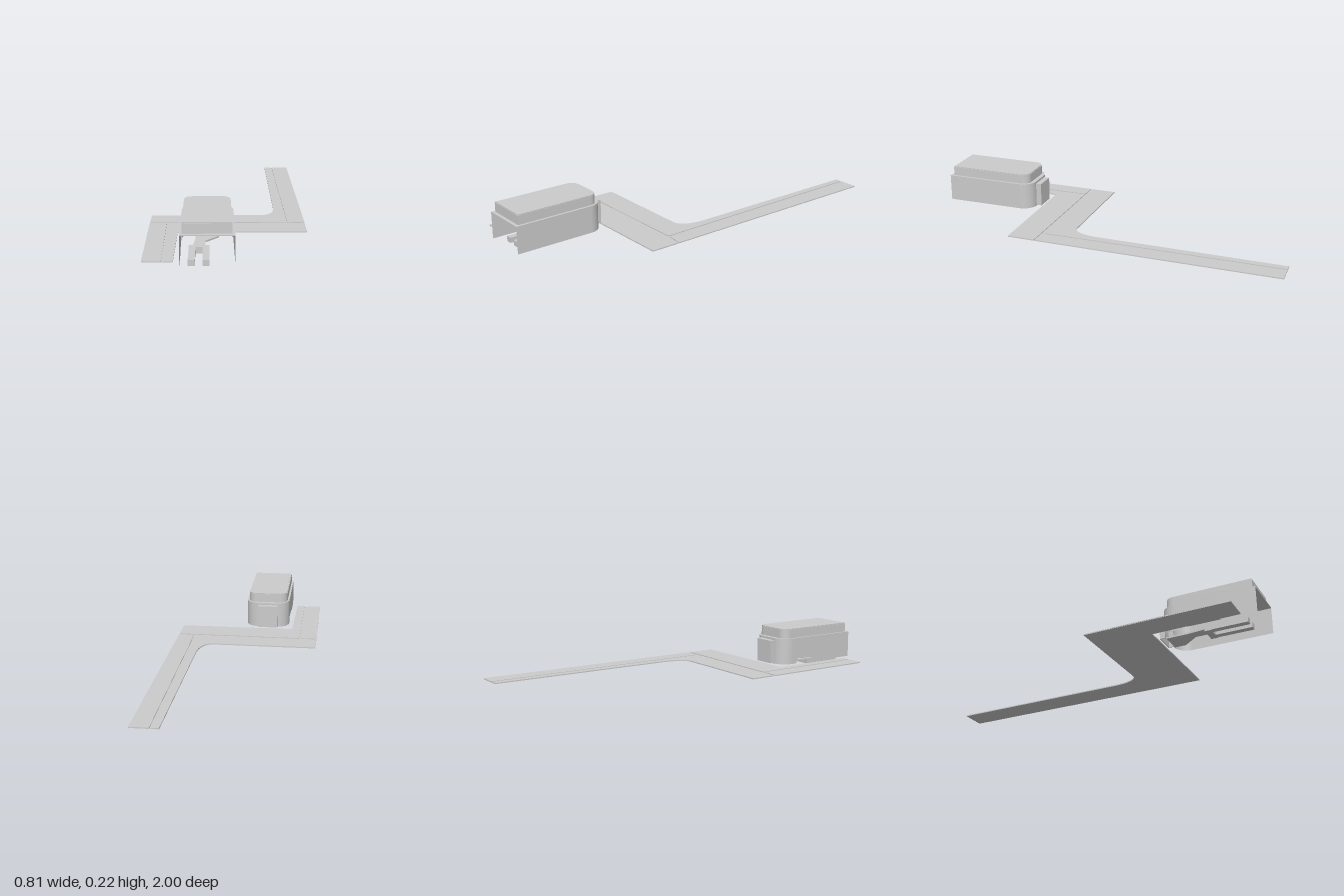
import * as THREE from 'three';

const grey = new THREE.MeshStandardMaterial({ color: 0xcccccc, side: THREE.DoubleSide });

function add(parent, name, geometry) {
  const mesh = new THREE.Mesh(geometry, grey);
  mesh.name = name;
  parent.add(mesh);
  return mesh;
}

// Box given by its limits on each axis
function box(parent, name, x0, x1, y0, y1, z0, z1) {
  const mesh = add(parent, name, new THREE.BoxGeometry(x1 - x0, y1 - y0, z1 - z0));
  mesh.position.set((x0 + x1) / 2, (y0 + y1) / 2, (z0 + z1) / 2);
  return mesh;
}

// Slab cut from a plan drawn in x and z, between two heights
function slab(parent, name, shape, y0, y1) {
  const geometry = new THREE.ExtrudeGeometry(shape, { depth: y1 - y0, bevelEnabled: false, curveSegments: 10 });
  geometry.rotateX(Math.PI / 2).translate(0, y1, 0);
  return add(parent, name, geometry);
}

function plan(points) {
  return new THREE.Shape(points.map(([x, z]) => new THREE.Vector2(x, z)));
}

// Plan with two rounded corners at the back and a straight front
function archPlan(x0, x1, z0, z1, r) {
  const s = new THREE.Shape();
  s.moveTo(x0, z1);
  s.lineTo(x0, z0 + r);
  s.absarc(x0 + r, z0 + r, r, Math.PI, Math.PI * 1.5);
  s.absarc(x1 - r, z0 + r, r, Math.PI * 1.5, Math.PI * 2);
  s.lineTo(x1, z1);
  s.closePath();
  return s;
}

// Upright wall along plan points [x, z, bottom]
function wall(parent, name, points, top) {
  const position = [], index = [];
  points.forEach(([x, z, bottom], i) => {
    position.push(x, bottom, z, x, top, z);
    const a = 2 * i;
    if (i) index.push(a - 2, a, a - 1, a, a + 1, a - 1);
  });
  const geometry = new THREE.BufferGeometry();
  geometry.setAttribute('position', new THREE.Float32BufferAttribute(position, 3));
  geometry.setIndex(index);
  geometry.computeVertexNormals();
  return add(parent, name, geometry);
}

function createRoad() {
  const road = new THREE.Group();
  road.name = 'road';

  // Inner bend shared by the base and the paving
  const bend = new THREE.QuadraticBezierCurve(
    new THREE.Vector2(0.17, 0.158), new THREE.Vector2(0.242, 0.155), new THREE.Vector2(0.25, 0.02)
  ).getPoints(10).map(p => [p.x, p.y]);

  slab(road, 'roadBase', plan([
    [0.26, -1], [0.402, -1], [0.392, 0.462], [-0.255, 0.462], [-0.262, 0.927],
    [-0.405, 0.927], [-0.402, 0.153], ...bend
  ]), 0.014, 0.016);

  // Raised paving split by narrow grooves
  slab(road, 'farLaneOuter', plan([[0.306, -1], [0.402, -1], [0.394, 0.3], [0.306, 0.29]]), 0.016, 0.02);
  slab(road, 'farLaneInner', plan([
    [0.26, -1], [0.296, -1], [0.296, 0.29], [-0.403, 0.29], [-0.402, 0.153], ...bend
  ]), 0.016, 0.02);
  slab(road, 'nearLaneInner', plan([
    [-0.306, 0.302], [0.393, 0.312], [0.392, 0.462], [-0.255, 0.462], [-0.262, 0.927], [-0.306, 0.927]
  ]), 0.016, 0.02);
  slab(road, 'nearLaneOuter', plan([[-0.404, 0.302], [-0.316, 0.302], [-0.316, 0.927], [-0.405, 0.927]]), 0.016, 0.02);
  return road;
}

function createShed() {
  const shed = new THREE.Group();
  shed.name = 'shed';
  const x0 = -0.23, x1 = 0.02, z0 = 0.495, z1 = 1, r = 0.075, top = 0.16;

  // Side walls turn round the back corners and stop at the doorway
  for (const side of [-1, 1]) {
    const edge = side < 0 ? x0 : x1;
    const points = side < 0
      ? [[edge, z1, 0.02], [edge, 0.83, 0.02], [edge, 0.8, 0.035], [edge, 0.61, 0.05], [edge, 0.6, 0.02]]
      : [[edge, z1, 0.02]];
    for (let i = 0; i <= 10; i++) {
      const a = (i / 10) * Math.PI / 2;
      points.push([edge - side * r * (1 - Math.cos(a)), z0 + r * (1 - Math.sin(a)), 0.02]);
    }
    points.push([side < 0 ? -0.165 : -0.048, z0, 0.02]);
    wall(shed, side < 0 ? 'rightWall' : 'leftWall', points, top);
  }

  // Roof in two steps with a thin lid
  slab(shed, 'eaves', archPlan(x0, x1, z0, z1, r), top, 0.165);
  slab(shed, 'roof', archPlan(-0.219, 0.007, 0.518, 0.982, 0.045), 0.165, 0.213);
  slab(shed, 'roofLid', archPlan(-0.217, 0.005, 0.52, 0.98, 0.043), 0.213, 0.218);
  box(shed, 'doorLintel', -0.165, -0.048, 0.153, top, z0, z0 + 0.003);

  // Shallow porch behind the doorway, open towards the inside
  box(shed, 'porchBack', -0.165, -0.05, 0.025, 0.153, 0.465, 0.469);
  box(shed, 'porchTop', -0.165, -0.05, 0.149, 0.153, 0.469, z0);
  for (const x of [-0.165, -0.054]) box(shed, 'porchSide', x, x + 0.004, 0.025, 0.149, 0.469, z0);

  // Forked stand under the shed
  for (const x of [-0.194, -0.128]) box(shed, 'forkProng', x, x + 0.032, 0.002, 0.03, 0.75, 0.94);
  box(shed, 'forkBridge', -0.194, -0.096, 0, 0.03, 0.715, 0.75);
  slab(shed, 'forkStem', plan([
    [-0.175, 0.715], [-0.165, 0.62], [-0.165, 0.5], [-0.05, 0.5], [-0.05, 0.56], [-0.115, 0.64], [-0.115, 0.715]
  ]), 0.02, 0.028);
  return shed;
}

export function createModel() {
  const model = new THREE.Group();
  model.name = 'roadsideShed';
  model.add(createRoad(), createShed());
  return model;
}
